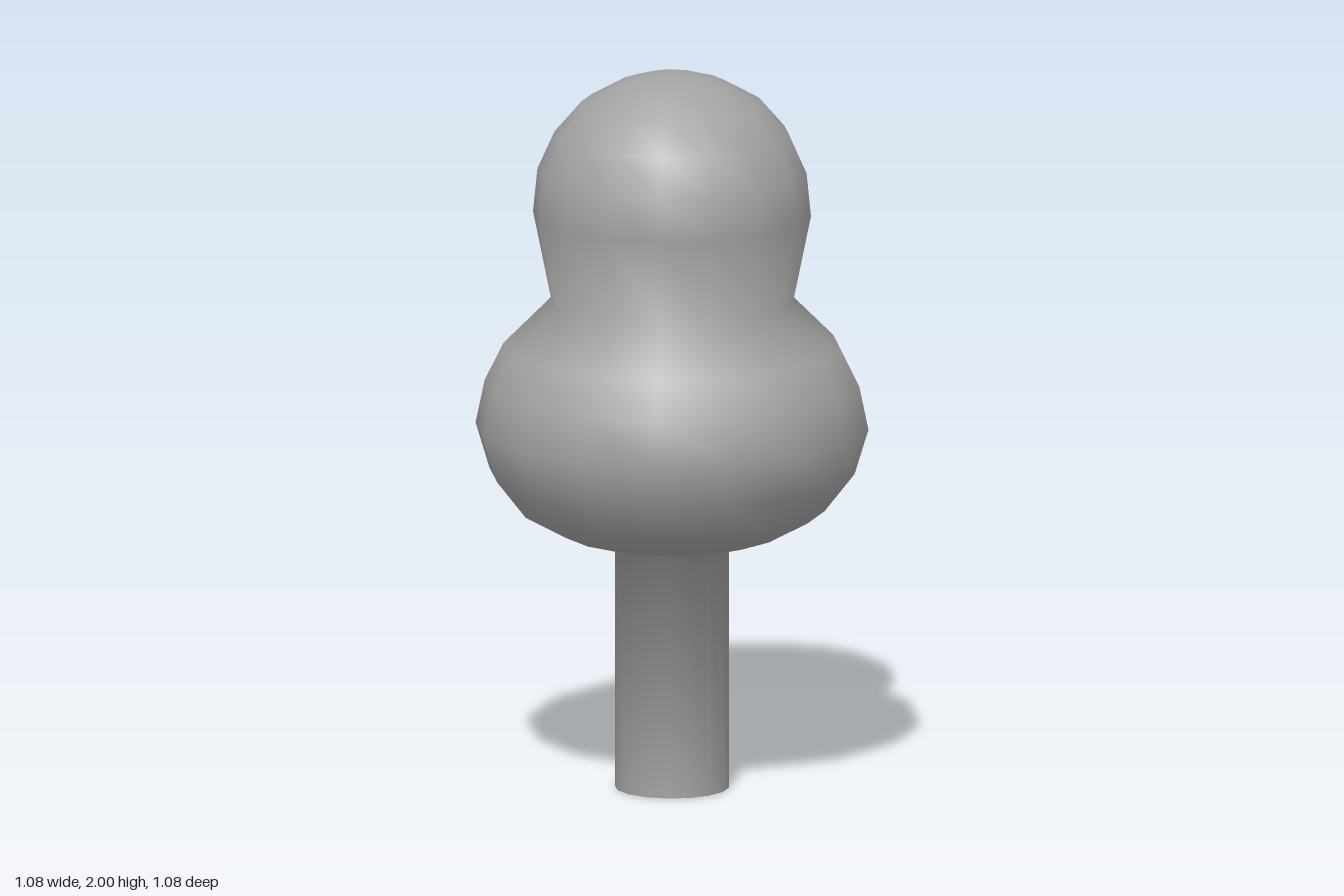
import * as THREE from 'three';

const SIDES = 16;

// Turn a profile, giving each ring the even average of its two neighbouring slopes as a smooth normal.
function smoothLathe(profile) {
  const geometry = new THREE.LatheGeometry(profile, SIDES);
  const last = profile.length - 1;
  const slopes = profile.slice(1).map((p, j) => {
    const d = p.clone().sub(profile[j]).normalize();
    return new THREE.Vector2(d.y, -d.x);
  });
  const ringNormals = profile.map((p, j) => {
    if (j === last) return new THREE.Vector2(0, 1);
    return slopes[j].clone().add(slopes[Math.max(j - 1, 0)]).normalize();
  });
  const normal = geometry.attributes.normal;
  for (let i = 0; i <= SIDES; i++) {
    const a = (i / SIDES) * Math.PI * 2;
    ringNormals.forEach((n, j) => {
      normal.setXYZ(i * profile.length + j, n.x * Math.sin(a), n.y, n.x * Math.cos(a));
    });
  }
  return geometry;
}

// Small rounded tree: a hollow trunk flowing into a two-tier crown, turned in one piece.
export function createModel() {
  const group = new THREE.Group();
  group.name = 'tree';

  // radius, height from the ground up
  const profile = [
    [0.157, 0], [0.157, 0.673],                                   // trunk
    [0.3, 0.714], [0.42, 0.78], [0.502, 0.885], [0.54, 1.01],     // lower crown
    [0.515, 1.13], [0.463, 1.235], [0.333, 1.365],                // neck
    [0.382, 1.605], [0.37, 1.725], [0.323, 1.83], [0.249, 1.915], // upper crown
    [0.145, 1.973], [0.08, 1.992], [0, 2],
  ].map(([r, y]) => new THREE.Vector2(r, y));

  const tree = new THREE.Mesh(
    smoothLathe(profile),
    new THREE.MeshStandardMaterial({ color: 0xa3a3a3, side: THREE.DoubleSide }),
  );
  tree.name = 'trunkAndCrown';
  group.add(tree);
  return group;
}
